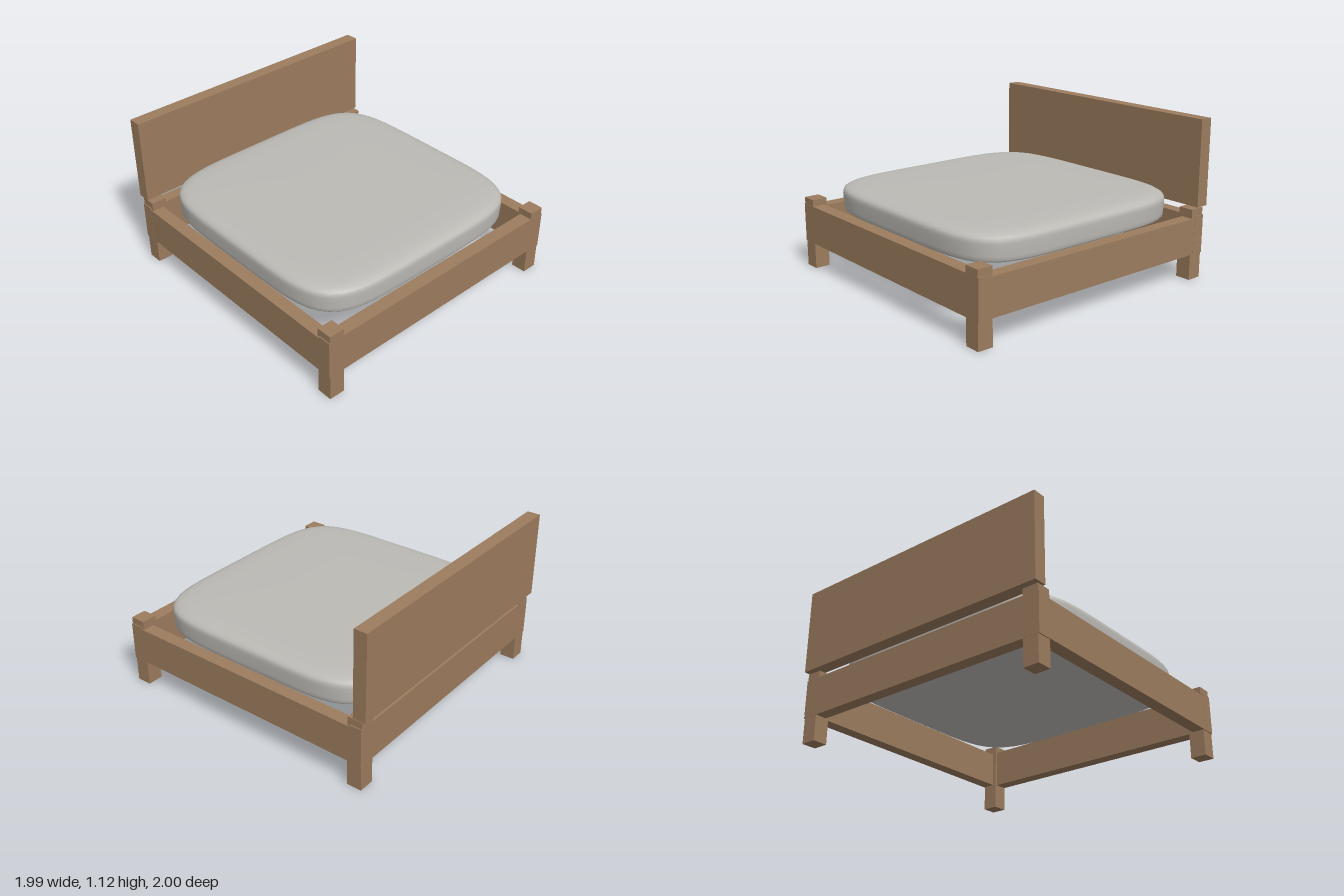
import * as THREE from 'three';
import { mergeVertices } from 'three/addons/utils/BufferGeometryUtils.js';

const wood = new THREE.MeshStandardMaterial({ color: 0x9c7c5e });
wood.name = 'wood';
const fabric = new THREE.MeshStandardMaterial({ color: 0xbcbab5 });
fabric.name = 'fabric';

// Box given by its lower and upper corners
function block(name, [x0, y0, z0], [x1, y1, z1]) {
  const geometry = new THREE.BoxGeometry(x1 - x0, y1 - y0, z1 - z0);
  const mesh = new THREE.Mesh(geometry, wood);
  mesh.position.set((x0 + x1) / 2, (y0 + y1) / 2, (z0 + z1) / 2);
  mesh.name = name;
  return mesh;
}

// Soft pad: a turned profile whose round outline is pushed out to a superellipse
function createMattress() {
  const profile = [
    [0, 0.437], [0.5, 0.437], [0.9, 0.437], [0.965, 0.438], [0.985, 0.443], [0.994, 0.455],
    [0.996, 0.48], [0.998, 0.52], [1, 0.56], [0.998, 0.58], [0.99, 0.595], [0.97, 0.608],
    [0.94, 0.617], [0.9, 0.623], [0.82, 0.628], [0.7, 0.631], [0.5, 0.633], [0.25, 0.634], [0, 0.634],
  ].map(([r, y]) => new THREE.Vector2(r, y));
  let geometry = new THREE.LatheGeometry(profile, 96);
  const halfX = 0.916, halfZ = 0.898, power = 5.2;
  const pos = geometry.attributes.position;
  for (let i = 0; i < pos.count; i++) {
    const x = pos.getX(i), z = pos.getZ(i);
    const r = Math.hypot(x, z);
    if (r < 1e-6) continue;
    const stretch = (Math.abs(x / r) ** power + Math.abs(z / r) ** power) ** (-1 / power);
    pos.setX(i, x * stretch * halfX);
    pos.setZ(i, z * stretch * halfZ);
  }
  geometry.deleteAttribute('uv');
  geometry.deleteAttribute('normal');
  geometry = mergeVertices(geometry, 1e-5);
  geometry.computeVertexNormals();
  const mesh = new THREE.Mesh(geometry, fabric);
  mesh.name = 'mattress';
  return mesh;
}

export function createModel() {
  const bed = new THREE.Group();
  bed.name = 'bed';

  // Headboard, set just above the back posts
  bed.add(block('headboard', [-0.995, 0.515, -1], [0.995, 1.125, -0.907]));

  // Cross rails
  bed.add(block('frontRail', [-0.995, 0.182, 0.907], [0.995, 0.457, 1]));
  bed.add(block('backRail', [-0.995, 0.182, -0.97], [0.995, 0.457, -0.883]));

  // Side rails and corner posts
  for (const [side, s] of [['left', 1], ['right', -1]]) {
    const span = (a, b) => (s > 0 ? [a, b] : [-b, -a]);
    const [r0, r1] = span(0.903, 0.994);
    bed.add(block(side + 'SideRail', [r0, 0.184, -0.969], [r1, 0.442, 0.999]));
    const [p0, p1] = span(0.876, 0.988);
    bed.add(block(side + 'FrontLeg', [p0, 0, 0.89], [p1, 0.505, 0.999]));
    bed.add(block(side + 'BackLeg', [p0, 0, -0.969], [p1, 0.505, -0.862]));
  }

  bed.add(createMattress());
  return bed;
}
